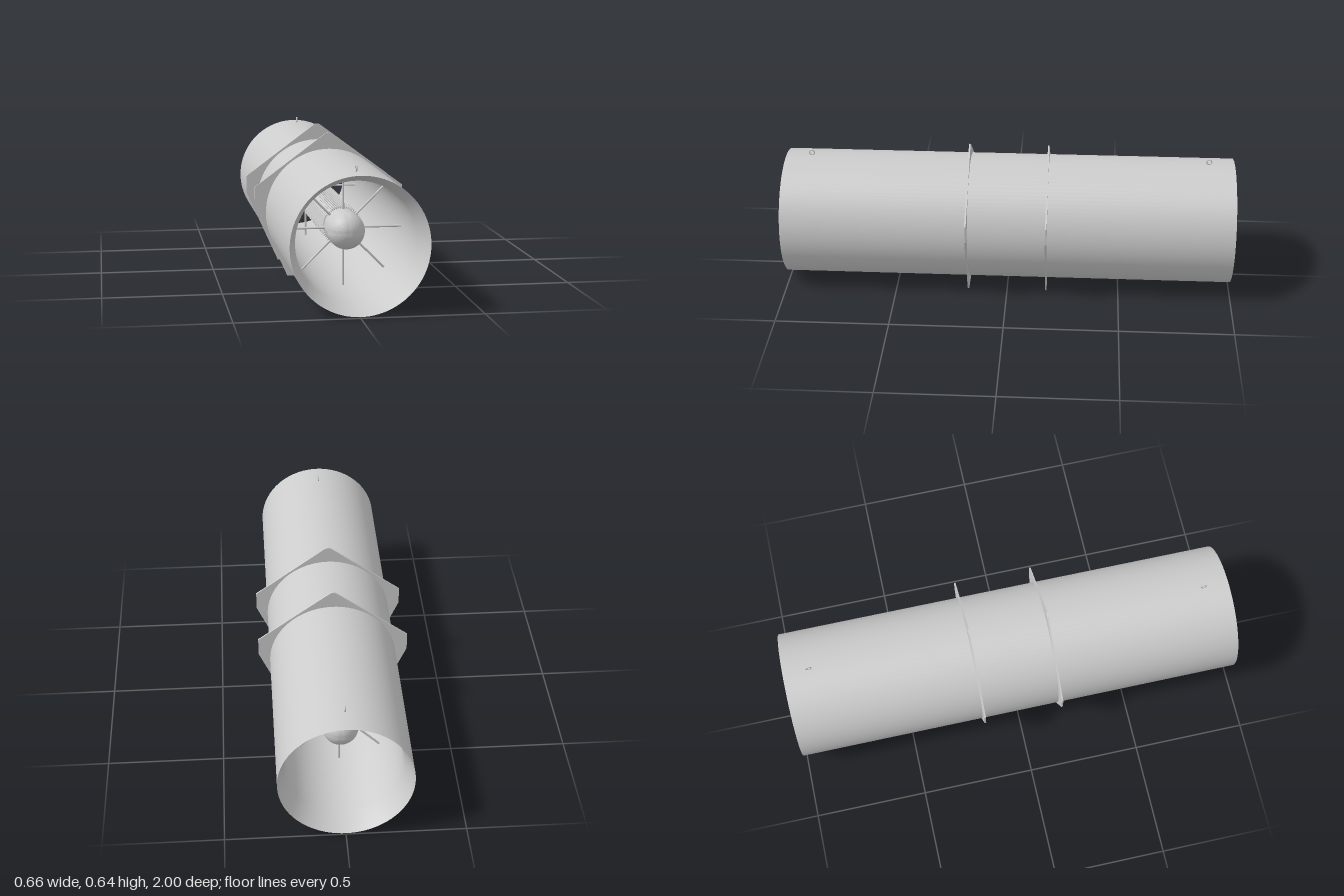
import * as THREE from 'three';
import { toCreasedNormals } from 'three/addons/utils/BufferGeometryUtils.js';

const AXIS_Y = 0.284;   // height of the duct axis
const OUTER = 0.279;    // duct outer radius
const BORE = 0.245;     // duct inner radius
const HUB = 0.077;      // motor radius

const material = new THREE.MeshStandardMaterial({ color: 0xcccccc });

function add(parent, name, geometry, x = 0, y = 0, z = 0) {
  const mesh = new THREE.Mesh(geometry, material);
  mesh.name = name;
  mesh.position.set(x, y, z);
  parent.add(mesh);
  return mesh;
}

// Revolve [radius, z] pairs about the z axis
function revolve(profile, segments) {
  const points = profile.map(([r, z]) => new THREE.Vector2(r, z));
  const geometry = new THREE.LatheGeometry(points, segments).rotateX(Math.PI / 2);
  return toCreasedNormals(geometry, 0.5);
}

// Five-sided mounting plate with a round hole for the duct
function plateGeometry(thickness) {
  const s = new THREE.Shape();
  s.moveTo(-0.185, 0);
  s.lineTo(0.185, 0);
  s.lineTo(0.329, 0.321);
  s.lineTo(0.329, 0.398);
  s.lineTo(0.016, 0.63);
  s.quadraticCurveTo(0, 0.642, -0.016, 0.63);
  s.lineTo(-0.329, 0.398);
  s.lineTo(-0.329, 0.321);
  s.closePath();
  const hole = new THREE.Path();
  hole.absarc(0, AXIS_Y, OUTER - 0.008, 0, Math.PI * 2, true);
  s.holes.push(hole);
  return new THREE.ExtrudeGeometry(s, { depth: thickness, bevelEnabled: false, curveSegments: 48 })
    .translate(0, 0, -thickness / 2);
}

export function createModel() {
  const model = new THREE.Group();
  model.name = 'ductFan';

  // Duct shell: straight outside, bore flaring to a sharp lip at both ends
  add(model, 'ductShell', revolve([
    [OUTER, -1], [OUTER, 1], [BORE, 0.9], [BORE, -0.9], [OUTER, -1],
  ], 96), 0, AXIS_Y, 0);

  // Motor body with a hemispherical dome at each end
  const motor = new THREE.Group();
  motor.name = 'motor';
  motor.position.y = AXIS_Y;
  model.add(motor);

  const domeZ = 0.65;
  const profile = [];
  for (let i = 0; i <= 12; i++) {
    const a = -Math.PI / 2 + (i / 12) * (Math.PI / 2);
    profile.push([HUB * Math.cos(a), HUB * Math.sin(a) - domeZ]);
  }
  const mirrored = profile.map(([r, z]) => [r, -z]).reverse();
  add(motor, 'motorBody', revolve([...profile, ...mirrored], 48));

  // Cooling fins around the motor
  const finCount = 60;
  for (let i = 0; i < finCount; i++) {
    const a = (i / finCount) * Math.PI * 2;
    const r = HUB + 0.002;
    const fin = add(motor, 'coolingFin', new THREE.BoxGeometry(0.01, 0.004, 1.1),
      r * Math.cos(a), r * Math.sin(a), 0);
    fin.rotation.z = a;
  }

  for (const side of [1, -1]) {
    // Eight radial spokes carrying the motor
    const spokes = new THREE.Group();
    spokes.name = 'spokes';
    spokes.position.z = side * 0.57;
    motor.add(spokes);
    const inner = HUB - 0.005, outer = BORE + 0.004;
    for (let i = 0; i < 8; i++) {
      const a = (i * Math.PI) / 4, mid = (inner + outer) / 2;
      const spoke = add(spokes, 'spoke', new THREE.CylinderGeometry(0.0045, 0.0045, outer - inner, 12),
        mid * Math.cos(a), mid * Math.sin(a), 0);
      spoke.rotation.z = a - Math.PI / 2;
    }
    // Boss under the top spoke
    add(spokes, 'spokeBoss', new THREE.CylinderGeometry(0.006, 0.006, 0.028, 12), 0, 0.088, 0);

    // Mounting plate and lifting eye
    add(model, 'mountingPlate', plateGeometry(0.007), 0, 0, side * 0.175);
    add(model, 'liftingEye', new THREE.TorusGeometry(0.011, 0.003, 10, 24).rotateY(Math.PI / 2),
      0, 0.577, side * 0.885);
  }

  return model;
}
